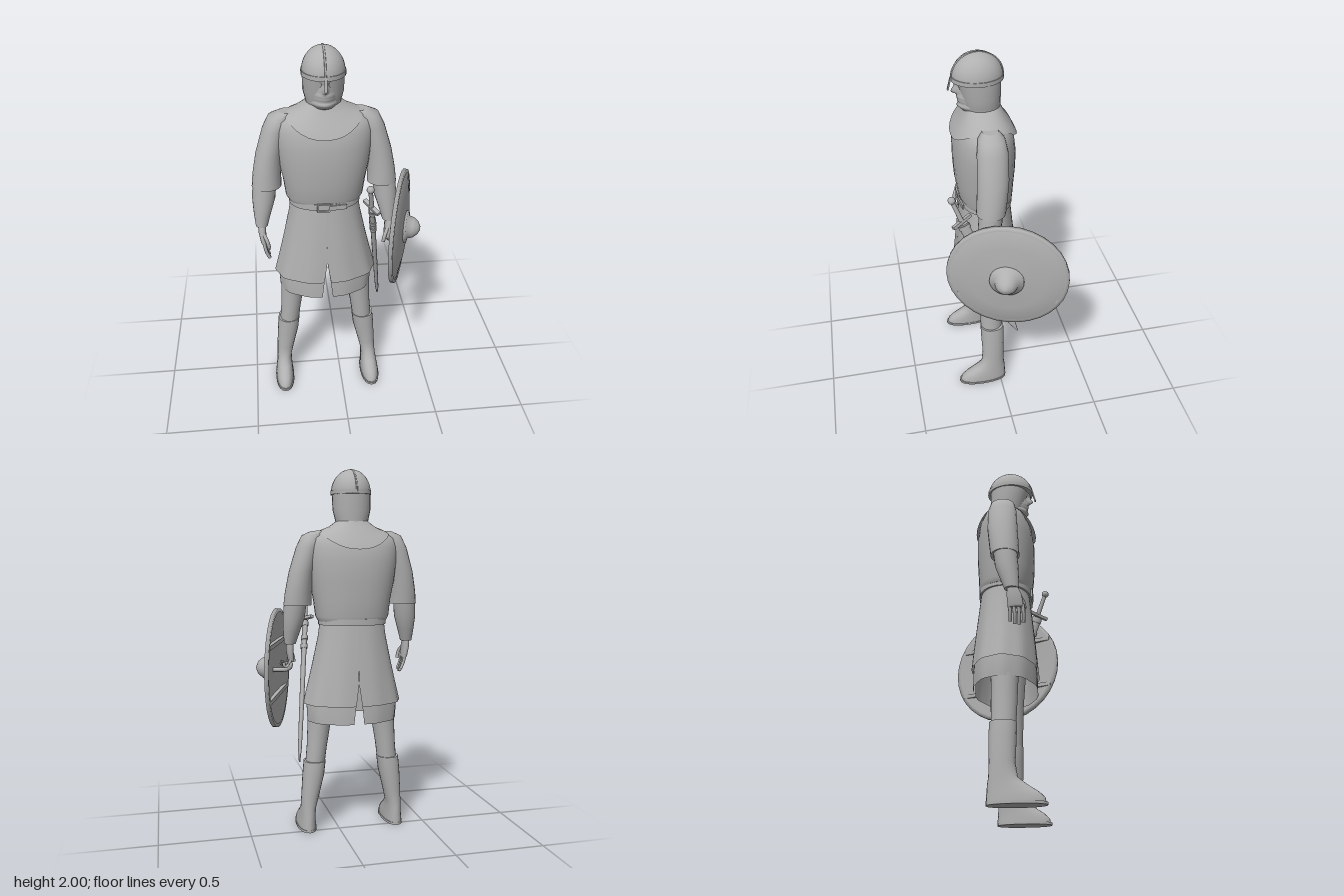
import * as THREE from 'three';

const steel = new THREE.MeshStandardMaterial({ color: 0xb0b0b0 });
steel.name = 'plain grey';
const thinGrey = new THREE.MeshStandardMaterial({ color: 0xb0b0b0, side: THREE.DoubleSide });
thinGrey.name = 'plain grey cloth';

function add(parent, name, geo, mat = steel) {
  const m = new THREE.Mesh(geo, mat);
  m.name = name;
  parent.add(m);
  return m;
}

// Closed skin over horizontal rings [y, cx, cz, rx, rz, dip]; dip lowers the ring at front and back
function loft(rings, n = 2, seg = 24) {
  const rows = [...rings].sort((a, b) => a[0] - b[0]);
  const pos = [], idx = [];
  const ring = ([y, cx, cz, rx, rz, dip = 0]) => {
    for (let j = 0; j < seg; j++) {
      const t = (j / seg) * Math.PI * 2, c = Math.cos(t), s = Math.sin(t);
      pos.push(cx + rx * Math.sign(c) * Math.abs(c) ** (2 / n), y - dip * s * s,
        cz + rz * Math.sign(s) * Math.abs(s) ** (2 / n));
    }
  };
  rows.forEach(ring);
  for (let i = 0; i < rows.length - 1; i++) for (let j = 0; j < seg; j++) {
    const a = i * seg + j, b = i * seg + (j + 1) % seg, c = a + seg, d = b + seg;
    idx.push(a, c, b, b, c, d);
  }
  for (const [row, top] of [[rows[0], false], [rows[rows.length - 1], true]]) {
    const start = pos.length / 3;
    ring(row);
    pos.push(row[1], row[0] - (row[5] || 0) / 2, row[2]);
    for (let j = 0; j < seg; j++) {
      const a = start + j, b = start + (j + 1) % seg;
      idx.push(start + seg, top ? b : a, top ? a : b);
    }
  }
  return build(pos, idx);
}

function build(pos, idx) {
  const g = new THREE.BufferGeometry();
  g.setAttribute('position', new THREE.Float32BufferAttribute(pos, 3));
  g.setIndex(idx);
  g.computeVertexNormals();
  return g;
}

function tube(points, r, seg = 16) {
  const curve = new THREE.CatmullRomCurve3(points.map(p => new THREE.Vector3(...p)));
  return new THREE.TubeGeometry(curve, seg, r, 8);
}

// Half of a flared skirt; rows are [y, rx, rz, slit angle]
function skirtHalf(s, rows, seg = 24) {
  const pos = [], idx = [], w = seg + 1;
  rows.forEach(([y, rx, rz, gap], i) => {
    for (let j = 0; j <= seg; j++) {
      const t = (j / seg - 0.5) * (Math.PI - 2 * gap);
      const k = 1 + 0.02 * (i / rows.length) * Math.cos(t * 10);
      pos.push(s * rx * k * Math.cos(t) ** 0.9, y, 0.035 + rz * k * Math.sin(t));
      if (i && j) {
        const d = i * w + j, c = d - 1, b = d - w, a = b - 1;
        idx.push(...(s > 0 ? [a, b, c, b, d, c] : [a, c, b, b, c, d]));
      }
    }
  });
  return build(pos, idx);
}

function lerpTable(table, y) {
  for (let i = 1; i < table.length; i++) {
    const [y0, v0] = table[i - 1], [y1, v1] = table[i];
    if (y <= y1) return v0 + (v1 - v0) * Math.max(0, (y - y0) / (y1 - y0));
  }
  return table[table.length - 1][1];
}

function face() {
  const g = new THREE.PlaneGeometry(0.14, 0.19, 20, 24), p = g.attributes.position;
  const profile = [[1.69, 0.11], [1.705, 0.145], [1.73, 0.17], [1.745, 0.16], [1.758, 0.17], [1.765, 0.164],
    [1.775, 0.172], [1.79, 0.166], [1.835, 0.164], [1.852, 0.176], [1.88, 0.172]];
  const nose = [[1.787, 0], [1.802, 0.032], [1.815, 0.03], [1.852, 0.006], [1.88, 0]];
  for (let i = 0; i < p.count; i++) {
    const x = p.getX(i), y = p.getY(i) + 1.785;
    const socket = 0.01 * Math.exp(-(((Math.abs(x) - 0.032) / 0.014) ** 2) - ((y - 1.836) / 0.01) ** 2);
    const z = lerpTable(profile, y) - 0.055 * (x / 0.065) ** 2 - socket
      + lerpTable(nose, y) * Math.max(0, 1 - Math.abs(x) / 0.018);
    p.setXYZ(i, x, y, z);
  }
  g.computeVertexNormals();
  return g;
}

function buildHead(body) {
  add(body, 'coif', loft([[1.66, 0, 0.04, 0.1, 0.09], [1.7, 0, 0.042, 0.085, 0.088], [1.73, 0, 0.045, 0.09, 0.094],
    [1.78, 0, 0.05, 0.102, 0.1], [1.88, 0, 0.06, 0.104, 0.112]], 2.1));
  add(body, 'face', face());
  const dome = new THREE.SphereGeometry(1, 28, 10, 0, Math.PI * 2, 0, Math.PI / 2);
  dome.scale(0.107, 0.125, 0.127);
  add(body, 'helmet', dome, thinGrey).position.set(0, 1.872, 0.065);
  add(body, 'helmetRim', loft([[1.862, 0, 0.065, 0.11, 0.13], [1.884, 0, 0.065, 0.11, 0.13]], 2, 28));
  const arc = [];
  for (let i = 0; i <= 12; i++) {
    const t = (i / 12) * Math.PI;
    arc.push([0, 1.872 + 0.123 * Math.sin(t), 0.065 - 0.128 * Math.cos(t)]);
  }
  add(body, 'helmetCrest', tube(arc, 0.005, 32));
  const guard = add(body, 'noseGuard', new THREE.BoxGeometry(0.014, 0.065, 0.007));
  guard.position.set(0, 1.845, 0.203);
  guard.rotation.x = -0.25;
}

function buildClothes(body) {
  add(body, 'tunicTop', loft([[1.185, 0, 0.035, 0.19, 0.132], [1.21, 0, 0.036, 0.203, 0.143], [1.3, 0, 0.04, 0.214, 0.152],
    [1.4, 0, 0.04, 0.234, 0.158], [1.5, 0, 0.04, 0.247, 0.158], [1.58, 0, 0.04, 0.252, 0.147],
    [1.63, 0, 0.04, 0.24, 0.125], [1.662, 0, 0.04, 0.195, 0.1], [1.685, 0, 0.04, 0.11, 0.085]], 2.3, 32));
  add(body, 'mantle', loft([[1.66, 0, 0.04, 0.2, 0.168, 0.09], [1.675, 0, 0.04, 0.17, 0.145, 0.055],
    [1.692, 0, 0.04, 0.125, 0.108, 0.015], [1.72, 0, 0.042, 0.086, 0.088]], 2.3, 32));
  add(body, 'belt', loft([[1.165, 0, 0.035, 0.188, 0.142], [1.2, 0, 0.035, 0.188, 0.142]], 2.2, 32));
  // buckle frame and belt tongue
  for (const s of [-1, 1]) {
    add(body, 'buckleSide', new THREE.BoxGeometry(0.008, 0.045, 0.012)).position.set(-0.015 + s * 0.03, 1.183, 0.18);
    add(body, 'buckleBar', new THREE.BoxGeometry(0.06, 0.008, 0.012)).position.set(-0.015, 1.183 + s * 0.02, 0.18);
  }
  const tongue = add(body, 'beltTongue', new THREE.BoxGeometry(0.09, 0.026, 0.009));
  tongue.position.set(0.06, 1.18, 0.175);
  tongue.rotation.y = 0.13;
  for (const s of [-1, 1]) {
    add(body, 'skirt', skirtHalf(s, [[1.19, 0.178, 0.13, 0], [1.1, 0.19, 0.14, 0], [0.95, 0.222, 0.155, 0],
      [0.85, 0.245, 0.164, 0.002], [0.73, 0.274, 0.174, 0.05]]), thinGrey);
    add(body, 'underSkirt', skirtHalf(s, [[0.85, 0.235, 0.155, 0.002], [0.73, 0.256, 0.165, 0.05],
      [0.63, 0.25, 0.166, 0.09]]), thinGrey);
  }
}

function buildLimbs(body, s) {
  const limb = (name, rows, n = 2, seg = 20) =>
    add(body, name, loft(rows.map(([y, x, ...r]) => [y, s * x, ...r]), n, seg));
  limb('sleeve', [[1.668, 0.185, 0.04, 0.04, 0.04], [1.645, 0.215, 0.04, 0.062, 0.066], [1.58, 0.245, 0.04, 0.064, 0.078],
    [1.45, 0.28, 0.045, 0.068, 0.08], [1.34, 0.296, 0.054, 0.073, 0.077], [1.27, 0.3, 0.06, 0.077, 0.075]]);
  limb('forearm', [[1.3, 0.31, 0.06, 0.062, 0.062], [1.2, 0.319, 0.07, 0.06, 0.06],
    [1.12, 0.33, 0.085, 0.045, 0.048], [1.055, 0.337, 0.097, 0.032, 0.037]]);
  limb('palm', [[1.07, 0.337, 0.1, 0.02, 0.026], [1.02, 0.337, 0.108, 0.02, 0.038],
    [0.965, 0.33, 0.115, 0.017, 0.04], [0.955, 0.329, 0.116, 0.012, 0.036]], 2.3, 14);
  for (let i = 0; i < 4; i++) {
    const z = 0.083 + i * 0.022, len = [0.065, 0.08, 0.085, 0.075][i];
    // the shield hand curls its fingers
    const pts = s < 0
      ? [[-0.33, 0.97, z], [-0.322, 0.97 - len * 0.6, z + 0.004], [-0.305, 0.97 - len - 0.015, z + 0.002]]
      : [[0.335, 0.97, z], [0.35, 0.935, z], [0.37, 0.93, z], [0.375, 0.955, z]];
    add(body, 'finger', tube(pts, 0.009, 8));
  }
  add(body, 'thumb', tube([[s * 0.33, 1.02, 0.135], [s * 0.312, 0.98, 0.155], [s * 0.305, 0.945, 0.155]], 0.01, 8));
  limb('leg', [[0.92, 0.14, 0.04, 0.085, 0.09], [0.75, 0.17, 0.045, 0.075, 0.08], [0.62, 0.185, 0.045, 0.065, 0.068],
    [0.48, 0.2, 0.043, 0.056, 0.064], [0.37, 0.212, 0.042, 0.054, 0.06]]);
  limb('boot', [[0.4, 0.213, 0.04, 0.061, 0.067], [0.32, 0.222, 0.038, 0.06, 0.067], [0.2, 0.24, 0.038, 0.049, 0.062],
    [0.13, 0.25, 0.043, 0.042, 0.068], [0.095, 0.252, 0.062, 0.043, 0.092], [0.06, 0.253, 0.088, 0.047, 0.12],
    [0.035, 0.254, 0.1, 0.05, 0.134], [0.01, 0.254, 0.102, 0.051, 0.137]], 2.2);
  limb('sole', [[0, 0.254, 0.105, 0.054, 0.141], [0.013, 0.254, 0.105, 0.054, 0.141]], 2.3);
}

function buildShield(group) {
  const shield = new THREE.Group();
  shield.name = 'shield';
  shield.position.set(0.345, 0.94, 0);
  shield.rotation.y = 1.235;
  group.add(shield);
  const disc = (name, pts) => {
    const g = new THREE.LatheGeometry(pts.map(p => new THREE.Vector2(...p)), 32);
    g.rotateX(Math.PI / 2);
    return add(shield, name, g, thinGrey);
  };
  disc('shieldBoard', [[0, 0.012], [0.2, 0.006], [0.31, -0.012], [0.31, 0.004], [0.2, 0.024], [0, 0.034]]);
  disc('shieldRim', [[0.3, -0.013], [0.32, -0.013], [0.32, 0.007], [0.3, 0.009]]);
  disc('shieldBoss', [[0.09, 0.024], [0.09, 0.042], [0.065, 0.046], [0.056, 0.075], [0.036, 0.1], [0.012, 0.112], [0, 0.113]]);
  for (const s of [-1, 1])
    add(shield, 'shieldBatten', new THREE.BoxGeometry(0.55, 0.022, 0.022)).position.set(0, s * 0.14, -0.004);
  add(shield, 'shieldGrip', tube([[-0.15, 0, 0.01], [-0.14, 0, -0.045], [-0.11, 0, -0.058], [0.03, 0, -0.066],
    [0.06, 0, -0.055], [0.07, 0, 0.01]], 0.011, 24));
}

function buildSword(group) {
  const sword = new THREE.Group();
  sword.name = 'sword';
  const hilt = new THREE.Vector3(0.135, 1.31, 0.245), tip = new THREE.Vector3(0.243, 0.43, -0.08);
  sword.position.copy(hilt);
  sword.quaternion.setFromUnitVectors(new THREE.Vector3(0, -1, 0), tip.sub(hilt).normalize());
  group.add(sword);
  add(sword, 'pommel', new THREE.SphereGeometry(0.02, 14, 10));
  add(sword, 'grip', new THREE.CylinderGeometry(0.011, 0.013, 0.12, 12)).position.y = -0.07;
  const guard = add(sword, 'crossGuard', new THREE.BoxGeometry(0.022, 0.016, 0.12));
  guard.position.y = -0.135;
  guard.rotation.y = 0.5;
  add(sword, 'scabbard', loft([[-0.15, 0, 0, 0.015, 0.028], [-0.7, 0, 0, 0.012, 0.024], [-0.87, 0, 0, 0.01, 0.02],
    [-0.945, 0, -0.006, 0.004, 0.004]], 2, 12));
  for (const y of [-0.17, -0.25, -0.3])
    add(sword, 'scabbardBand', loft([[y - 0.012, 0, 0, 0.019, 0.032], [y + 0.012, 0, 0, 0.019, 0.032]], 2, 14));
}

export function createModel() {
  const group = new THREE.Group();
  group.name = 'footSoldier';
  const body = new THREE.Group();
  body.name = 'body';
  body.position.x = -0.08;
  group.add(body);
  buildHead(body);
  buildClothes(body);
  for (const s of [-1, 1]) buildLimbs(body, s);
  buildShield(group);
  buildSword(group);
  return group;
}
